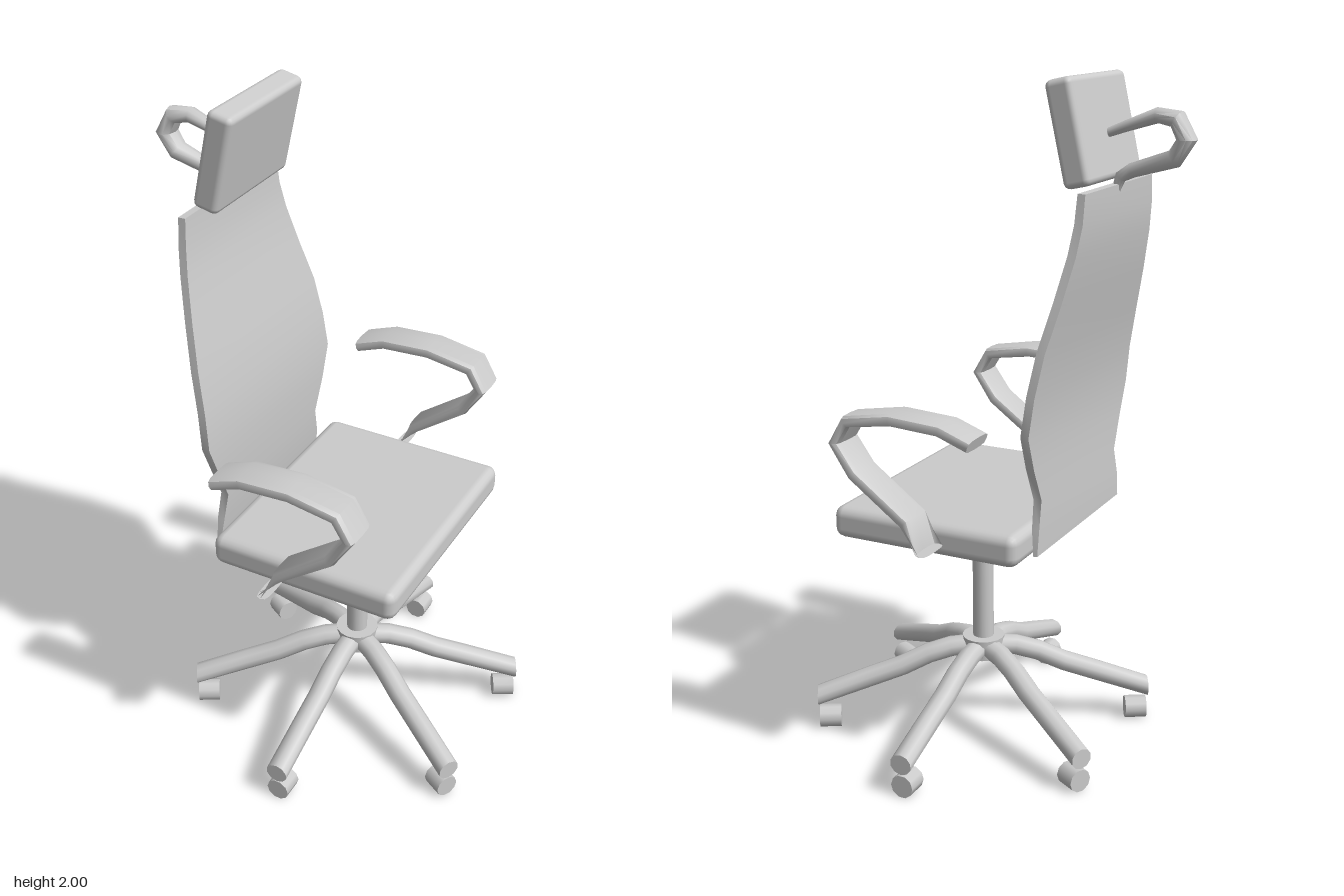
import * as THREE from 'three';
import { toCreasedNormals } from 'three/addons/utils/BufferGeometryUtils.js';
import { RoundedBoxGeometry } from 'three/addons/geometries/RoundedBoxGeometry.js';

const material = new THREE.MeshStandardMaterial({ color: 0xcccccc });

// Cross-sections as unit points; power below 1 squares the circle off
const roundSection = (sides, power = 1) => Array.from({ length: sides }, (_, i) => {
  const a = (i / sides) * Math.PI * 2;
  return [Math.cos(a), Math.sin(a)].map((v) => Math.sign(v) * Math.abs(v) ** power);
});
const flatSection = [[1, -1], [1, 1], [-1, 1], [-1, -1]];

// Sweeps a section along stations [x, y, halfThickness, halfWidth] in the xy plane.
// endNormal optionally sets the direction of the final cut.
function sweep(stations, section, endNormal) {
  const position = [], index = [];
  const n = section.length, last = stations.length - 1;
  const points = stations.map(([x, y]) => new THREE.Vector2(x, y));
  stations.forEach(([x, y, thick, wide], i) => {
    const before = points[i].clone().sub(points[Math.max(i - 1, 0)]).normalize();
    const after = points[Math.min(i + 1, last)].clone().sub(points[i]).normalize();
    const t = before.add(after).normalize();
    const [nx, ny] = i === last && endNormal ? endNormal : [-t.y, t.x];
    for (const [u, v] of section) position.push(x + nx * u * thick, y + ny * u * thick, v * wide);
  });
  const startCap = (last + 1) * n, endCap = startCap + 1;
  position.push(points[0].x, points[0].y, 0, points[last].x, points[last].y, 0);
  for (let j = 0; j < n; j++) {
    const k = (j + 1) % n;
    for (let i = 0; i < last; i++) {
      const a = i * n + j, b = i * n + k;
      index.push(a, b, a + n, b, b + n, a + n);
    }
    index.push(startCap, k, j, endCap, last * n + j, last * n + k);
  }
  const geometry = new THREE.BufferGeometry();
  geometry.setAttribute('position', new THREE.Float32BufferAttribute(position, 3));
  geometry.setIndex(index);
  return toCreasedNormals(geometry, 0.85);
}

export function createModel() {
  const chair = new THREE.Group();
  chair.name = 'officeChair';
  const add = (name, geometry, x = 0, y = 0, z = 0, parent = chair) => {
    const mesh = new THREE.Mesh(geometry, material);
    mesh.name = name;
    mesh.position.set(x, y, z);
    parent.add(mesh);
    return mesh;
  };
  const centreX = 0.095;

  // Seat cushion on its column
  add('seat', new RoundedBoxGeometry(0.585, 0.095, 0.735, 2, 0.03), 0.1, 0.742, 0);
  add('column', new THREE.CylinderGeometry(0.032, 0.032, 0.46, 16), centreX, 0.48, 0);
  add('hub', new THREE.CylinderGeometry(0.065, 0.06, 0.065, 16), centreX, 0.267, 0);

  // Six curved legs, each with a roller lying along the leg
  const legGeometry = sweep(
    [[0.02, 0.268], [0.1, 0.261], [0.17, 0.24], [0.25, 0.202], [0.35, 0.167], [0.515, 0.108]]
      .map(([x, y]) => [x, y, 0.031, 0.034]),
    roundSection(10), [0, 1]);
  const casterGeometry = new THREE.CylinderGeometry(0.035, 0.035, 0.066, 10).rotateZ(Math.PI / 2);
  for (let i = 0; i < 6; i++) {
    const leg = new THREE.Group();
    leg.name = 'legWithCaster';
    leg.position.x = centreX;
    leg.rotation.y = Math.PI / 6 + (i * Math.PI) / 3;
    add('leg', legGeometry, 0, 0, 0, leg);
    add('caster', casterGeometry, 0.478, 0.036, 0, leg);
    chair.add(leg);
  }

  // Looped armrests on both sides
  const armGeometry = sweep(
    [[-0.11, 1.067], [-0.02, 1.1], [0.13, 1.109], [0.27, 1.086],
      [0.308, 1.022], [0.25, 0.938], [0.09, 0.822], [0.04, 0.737]]
      .map(([x, y]) => [x, y, 0.019, 0.058]),
    roundSection(12, 0.6), [-1, 0]);
  for (const side of [1, -1]) add('armrest', armGeometry, 0, 0, side * 0.427);

  // Thin curved backrest, waisted above the seat
  add('backrest', sweep([
    [-0.217, 0.715, 0.006, 0.29], [-0.213, 0.79, 0.011, 0.28], [-0.209, 0.87, 0.012, 0.26],
    [-0.207, 0.97, 0.012, 0.305], [-0.209, 1.07, 0.012, 0.345], [-0.222, 1.18, 0.012, 0.337],
    [-0.245, 1.3, 0.012, 0.324], [-0.277, 1.43, 0.012, 0.292], [-0.303, 1.55, 0.012, 0.263],
    [-0.314, 1.63, 0.012, 0.247], [-0.317, 1.71, 0.011, 0.237],
  ], flatSection));

  // Headrest leaning forward, held by a tapered loop
  const headrest = add('headrest', new RoundedBoxGeometry(0.078, 0.285, 0.378, 2, 0.018), -0.25, 1.855, 0);
  headrest.rotation.z = -0.22;
  add('headrestBracket', sweep([
    [-0.26, 1.833, 0.011, 0.011], [-0.34, 1.863, 0.015, 0.018], [-0.43, 1.895, 0.021, 0.027],
    [-0.485, 1.887, 0.026, 0.034], [-0.513, 1.835, 0.028, 0.038], [-0.48, 1.784, 0.026, 0.033],
    [-0.36, 1.747, 0.02, 0.021], [-0.328, 1.728, 0.017, 0.016], [-0.315, 1.69, 0.012, 0.012],
  ], roundSection(10)));

  return chair;
}
